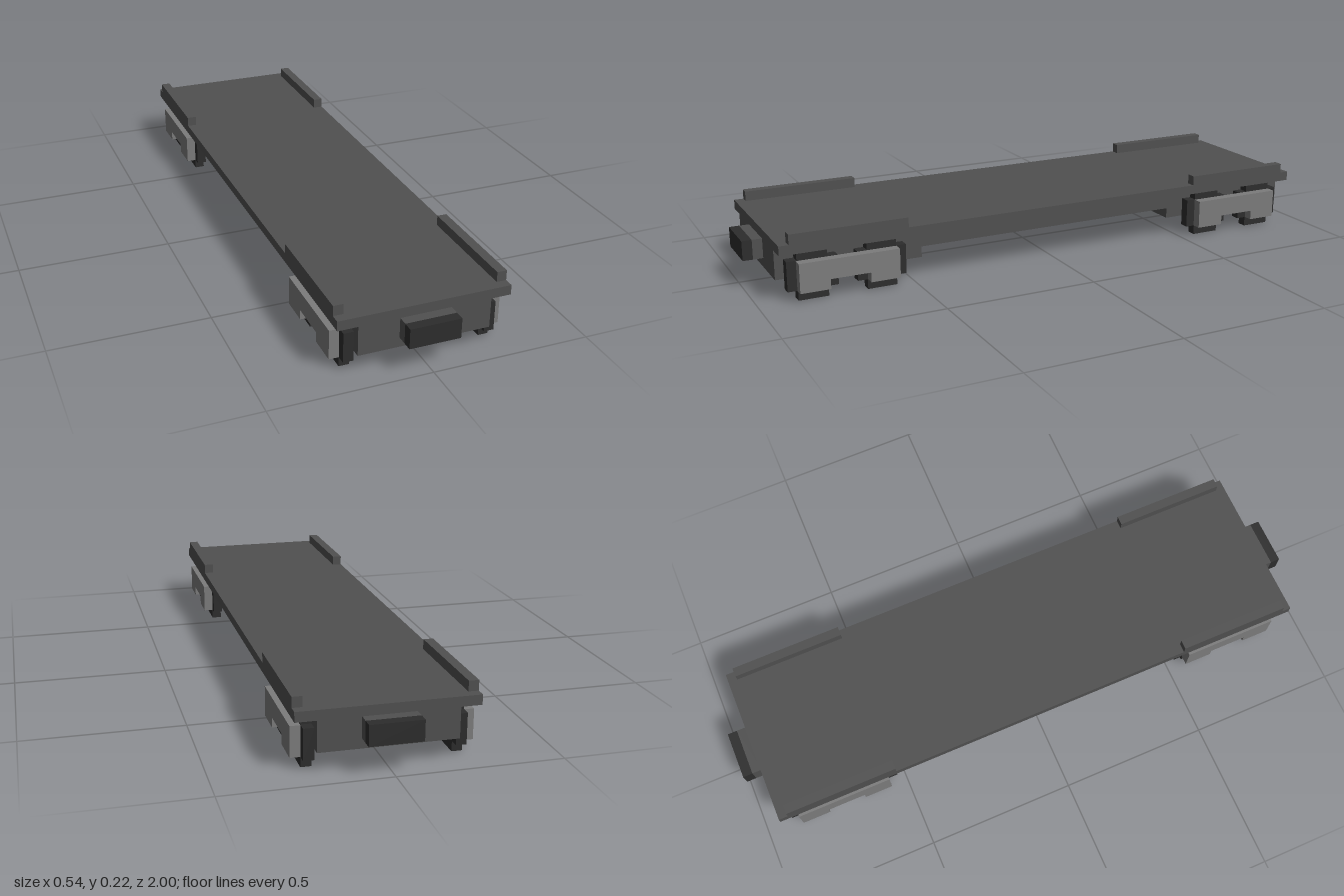
import * as THREE from 'three';

const material = (name, hex) => {
  const m = new THREE.MeshStandardMaterial({ color: hex });
  m.name = name;
  return m;
};

export function createModel() {
  const model = new THREE.Group();
  model.name = 'flatWagon';
  const deckGrey = material('deckGrey', 0x505050);
  const darkIron = material('darkIron', 0x2d2d2d);
  const lightSteel = material('lightSteel', 0x7c7c7c);

  // box given by its lower and upper corners
  const box = (name, mat, [x0, y0, z0], [x1, y1, z1]) => {
    const mesh = new THREE.Mesh(new THREE.BoxGeometry(x1 - x0, y1 - y0, z1 - z0), mat);
    mesh.position.set((x0 + x1) / 2, (y0 + y1) / 2, (z0 + z1) / 2);
    mesh.name = name;
    model.add(mesh);
  };

  // side profile of [z, y] points, extruded across x from x0
  const sidePlate = (name, mat, points, x0, width, z) => {
    const shape = new THREE.Shape(points.map(([a, b]) => new THREE.Vector2(a, b)));
    const geo = new THREE.ExtrudeGeometry(shape, { depth: width, bevelEnabled: false });
    geo.rotateY(Math.PI / 2);
    const mesh = new THREE.Mesh(geo, mat);
    mesh.position.set(x0, 0, z);
    mesh.name = name;
    model.add(mesh);
  };

  // deck and the sill under it
  box('deck', deckGrey, [-0.27, 0.16, -0.936], [0.27, 0.191, 0.936]);
  box('centreSill', deckGrey, [-0.207, 0.1, -0.462], [0.207, 0.16, 0.462]);

  // stepped cross-shaped wheel, 0.16 across
  const r = 0.08, s = 0.048;
  const wheel = [[-s, -r], [s, -r], [s, -s], [r, -s], [r, s], [s, s],
    [s, r], [-s, r], [-s, s], [-r, s], [-r, -s], [-s, -s]].map(([a, b]) => [a, b + r]);

  // bogie side frame with a notch between the wheels
  const frame = [[-0.16, 0.032], [-0.064, 0.032], [-0.064, 0.064], [0.064, 0.064],
    [0.064, 0.032], [0.16, 0.032], [0.16, 0.127], [-0.16, 0.127]];

  for (const end of [1, -1]) {
    const span = (a, b) => (end > 0 ? [a, b] : [-b, -a]);

    // deeper sill over the bogie
    const [e0, e1] = span(0.462, 0.936);
    box('endSill', deckGrey, [-0.207, 0.065, e0], [0.207, 0.16, e1]);

    // coupler shank and buffer face
    const [c0, c1] = span(0.936, 0.968);
    box('couplerShank', deckGrey, [-0.08, 0.096, c0], [0.08, 0.16, c1]);
    const [b0, b1] = span(0.968, 1);
    box('buffer', darkIron, [-0.08, 0.096, b0], [0.08, 0.16, b1]);

    for (const side of [1, -1]) {
      const left = (a, b) => (side > 0 ? a : -b);

      // low kerb on the deck edge
      const [k0, k1] = span(0.527, 0.905);
      const kx = left(0.239, 0.27);
      box('kerb', deckGrey, [kx, 0.191, k0], [kx + 0.031, 0.223, k1]);

      // wheels and side frame
      for (const z of [0.607, 0.828]) {
        sidePlate('wheel', darkIron, wheel, left(0.207, 0.239), 0.032, z * end);
      }
      sidePlate('bogieFrame', lightSteel, frame, left(0.239, 0.27), 0.031, 0.718 * end);
    }
  }
  return model;
}
